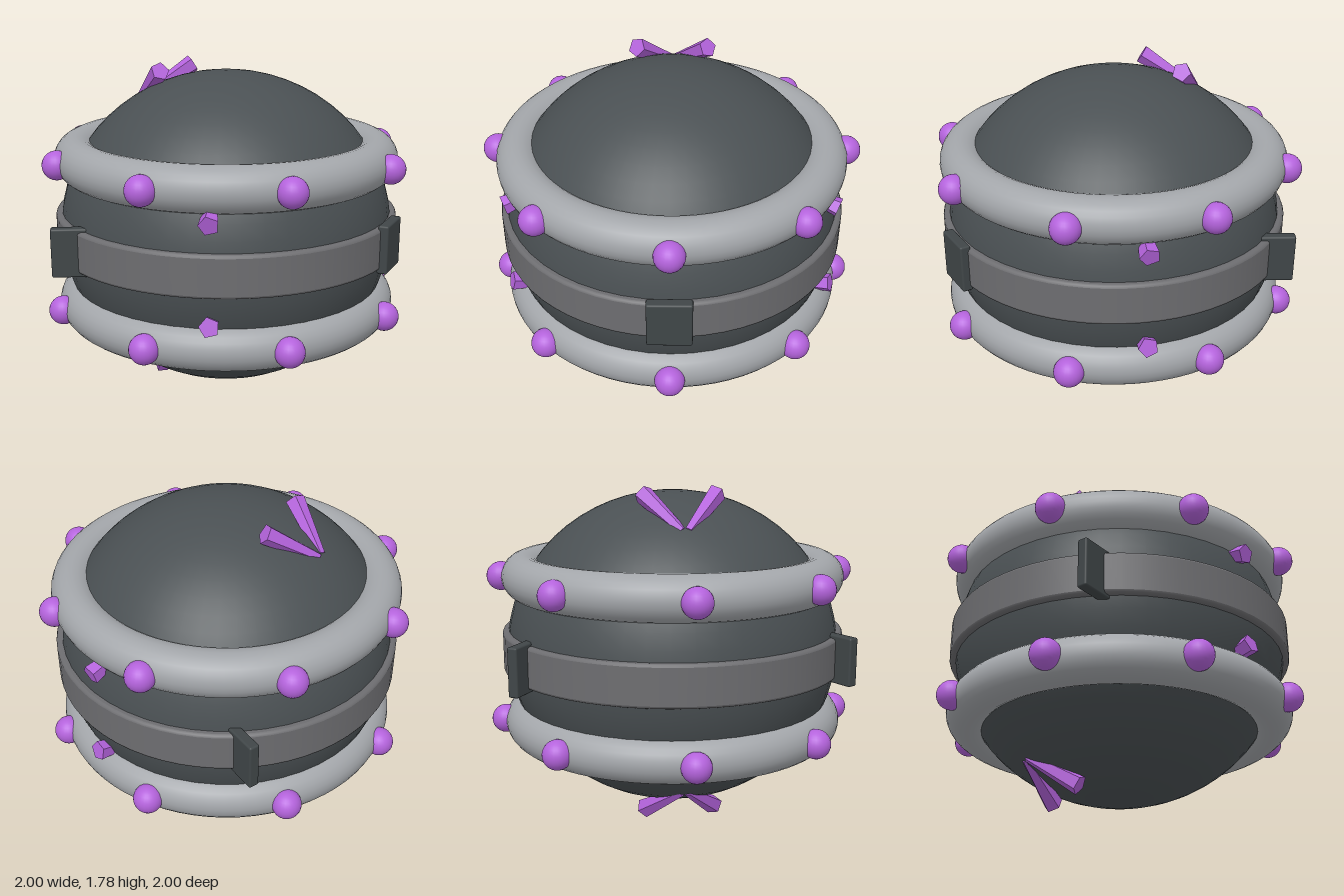
import * as THREE from 'three';
import { RoundedBoxGeometry } from 'three/addons/geometries/RoundedBoxGeometry.js';

const MID = 0.9;          // height of the equator
const RING_OFFSET = 0.397; // rings sit this far above and below it

function material(name, color, flatShading = false) {
  const m = new THREE.MeshStandardMaterial({ color, flatShading });
  m.name = name;
  return m;
}

export function createModel() {
  const model = new THREE.Group();
  model.name = 'bandedOrb';

  const charcoal = material('charcoal', 0x4a5053);
  const steel = material('steel', 0xa3a6aa);
  const iron = material('iron', 0x6d6d70);
  const slate = material('slate', 0x404648);
  const violet = material('violet', 0xb463dc);
  const violetFaceted = material('violet crystal', 0xb463dc, true);

  const add = (name, geometry, mat, parent = model) => {
    const mesh = new THREE.Mesh(geometry, mat);
    mesh.name = name;
    parent.add(mesh);
    return mesh;
  };

  // Slightly flattened core
  const core = add('core', new THREE.SphereGeometry(1, 48, 32), charcoal);
  core.scale.set(0.9, 0.845, 0.9);
  core.position.y = MID;

  // Flat belt with softened edges, its ends buried in the core
  const h = 0.109, r = 0.925, b = 0.015;
  const profile = [
    [0.86, -h], [r - b, -h], [r - b, -h], [r - b * 0.3, -h + b * 0.3], [r, -h + b], [r, -h + b],
    [r, h - b], [r, h - b], [r - b * 0.3, h - b * 0.3], [r - b, h], [r - b, h], [0.86, h],
  ].map(([x, y]) => new THREE.Vector2(x, y));
  const belt = add('belt', new THREE.LatheGeometry(profile, 64), iron);
  belt.position.y = MID;

  // Three clamp plates on the belt; the rear two stand skewed to it
  const clampGeometry = new RoundedBoxGeometry(0.055, 0.255, 0.225, 2, 0.01);
  for (let i = 0; i < 3; i++) {
    const a = (i * Math.PI * 2) / 3;
    const clamp = add('clamp', clampGeometry, slate);
    clamp.position.set(Math.cos(a) * 0.93, MID, Math.sin(a) * 0.93);
    clamp.rotation.y = a;
  }

  // Tapered five-sided crystal reaching from one point to another
  const up = new THREE.Vector3(0, 1, 0);
  const addCrystal = (from, to) => {
    const start = new THREE.Vector3(...from);
    const axis = new THREE.Vector3(...to).sub(start);
    const geometry = new THREE.CylinderGeometry(0.052, 0.026, axis.length(), 5);
    const crystal = add('crystal', geometry, violetFaceted);
    crystal.position.copy(start).addScaledVector(axis, 0.5);
    crystal.quaternion.setFromUnitVectors(up, axis.normalize());
  };

  const ringGeometry = new THREE.TorusGeometry(0.806, 0.117, 24, 72);
  const studGeometry = new THREE.SphereGeometry(0.077, 24, 16);
  for (const side of [1, -1]) {
    // Thick ring with eight round studs
    const ring = new THREE.Group();
    ring.name = side > 0 ? 'upperRing' : 'lowerRing';
    ring.position.y = MID + side * RING_OFFSET;
    model.add(ring);
    add('ringTube', ringGeometry, steel, ring).rotation.x = Math.PI / 2;
    for (let i = 0; i < 8; i++) {
      const a = (i * Math.PI) / 4;
      add('stud', studGeometry, violet, ring)
        .position.set(Math.cos(a) * 0.923, 0, Math.sin(a) * 0.923);
    }

    // Crystals: a splayed pair near the pole and short stubs beside the ring
    for (const z of [1, -1]) {
      addCrystal([-0.51, MID + side * 0.675, z * 0.015], [-0.295, MID + side * 0.845, z * 0.188]);
      addCrystal([0.24, MID + side * 0.31, z * 0.65], [0.323, MID + side * 0.25, z * 0.862]);
    }
  }

  return model;
}
